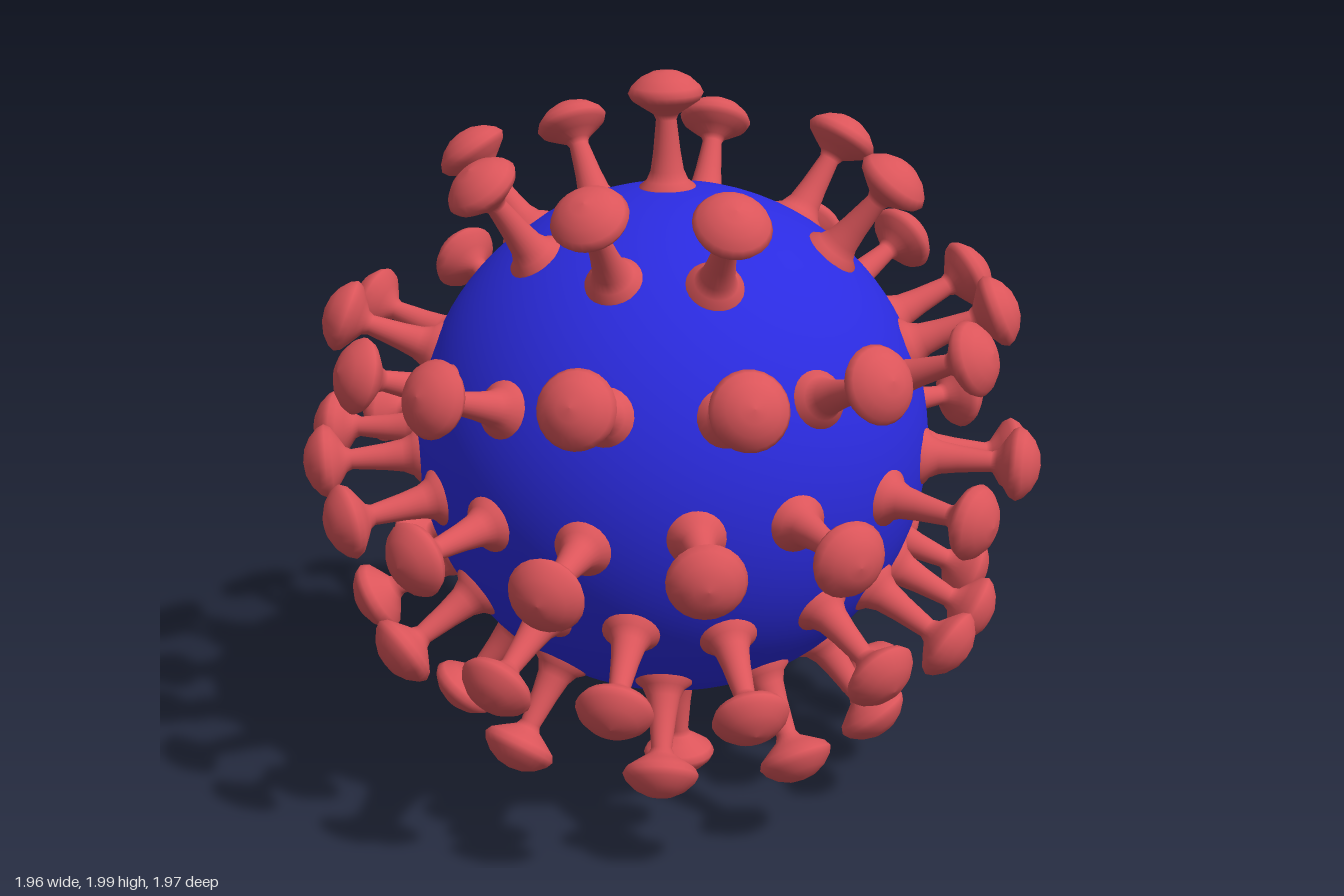
import * as THREE from 'three';

export function createModel() {
  const model = new THREE.Group();
  model.name = 'spikedSphere';
  const blue = new THREE.MeshStandardMaterial({ color: 0x2b2be0 });
  const red = new THREE.MeshStandardMaterial({ color: 0xdb555a });
  const CENTRE = new THREE.Vector3(0.005, 1.006, 0.008);

  // Round body
  const body = new THREE.Mesh(new THREE.SphereGeometry(0.69, 64, 48), blue);
  body.name = 'body';
  body.position.copy(CENTRE);
  model.add(body);

  // One spike turned around +y: flared foot, tapering stem, mushroom head.
  // Heights are measured from the middle of the body.
  const profile = [
    [0.078, 0.665], [0.074, 0.69], [0.056, 0.704], [0.044, 0.73], [0.036, 0.78],
    [0.027, 0.865], [0.034, 0.88], [0.062, 0.898], [0.09, 0.917], [0.099, 0.934],
    [0.09, 0.952], [0.066, 0.974], [0.035, 0.989], [0, 0.994],
  ].map(([r, y]) => new THREE.Vector2(r, y));
  const spikeGeometry = new THREE.LatheGeometry(profile, 24);

  const UP = new THREE.Vector3(0, 1, 0);
  const HEAD = 0.935; // distance of the head from the middle
  function addSpike(direction, parent) {
    const spike = new THREE.Mesh(spikeGeometry, red);
    spike.name = 'spike';
    spike.position.copy(CENTRE);
    spike.quaternion.setFromUnitVectors(UP, direction.normalize());
    parent.add(spike);
  }

  // Rings of spikes: [azimuth in degrees from the front towards +x, head height]
  const rings = {
    upperRing: [[-3, 0.72], [59, 0.73], [105, 0.76], [150, 0.765], [195, 0.77],
      [237, 0.75], [284, 0.75], [323, 0.73]],
    upperMiddleRing: [[-5, 0.34], [18, 0.36], [43, 0.345], [68, 0.37], [90, 0.385],
      [111, 0.425], [134, 0.4], [163, 0.36], [186, 0.35], [207, 0.34], [232, 0.29],
      [254, 0.34], [280, 0.29], [302, 0.31], [328, 0.34]],
    middleRing: [[-12, -0.06], [10, -0.04], [37, -0.05], [60, -0.01], [78, -0.08],
      [101, -0.015], [126, -0.04], [154, -0.03], [180, -0.04], [203, -0.05],
      [225, -0.06], [246, -0.01], [261, -0.03], [279, -0.1], [300, -0.1], [324, -0.115]],
    lowerMiddleRing: [[-3, -0.48], [22, -0.425], [45, -0.45], [61, -0.44], [81, -0.43],
      [111, -0.435], [136, -0.45], [168, -0.45], [197, -0.44], [226, -0.44],
      [255, -0.46], [283, -0.46], [311, -0.43], [333, -0.45]],
    lowerRing: [[17, -0.735], [52, -0.73], [85, -0.74], [123, -0.72], [164, -0.72],
      [202, -0.74], [255, -0.735], [299, -0.73], [340, -0.735]],
  };
  for (const [name, spikes] of Object.entries(rings)) {
    const ring = new THREE.Group();
    ring.name = name;
    for (const [azimuth, y] of spikes) {
      const a = THREE.MathUtils.degToRad(azimuth);
      const r = Math.sqrt(HEAD * HEAD - y * y);
      addSpike(new THREE.Vector3(r * Math.sin(a), y, r * Math.cos(a)), ring);
    }
    model.add(ring);
  }

  // Single spikes at the top and bottom
  const poles = new THREE.Group();
  poles.name = 'poleSpikes';
  addSpike(new THREE.Vector3(-0.015, 1, -0.015), poles);
  addSpike(new THREE.Vector3(0.015, -1, 0.02), poles);
  model.add(poles);

  return model;
}
